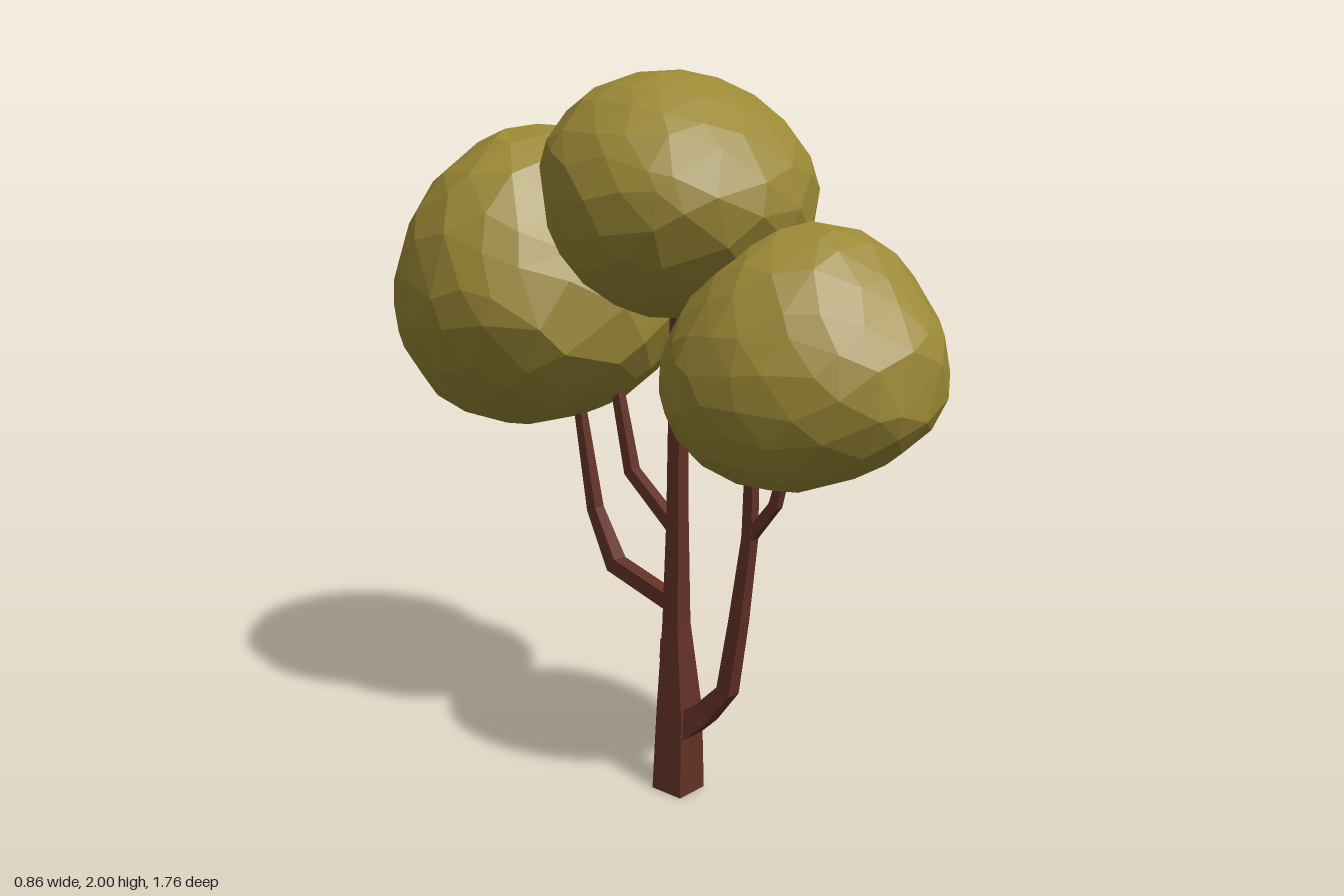
import * as THREE from 'three';

const bark = new THREE.MeshStandardMaterial({ color: 0x613126, flatShading: true });
const leaf = new THREE.MeshStandardMaterial({ color: 0x9c8936, flatShading: true });

// Square-sectioned limb through stations [x, y, z, width]; ref sets the twist of the section
function limb(name, stations, ref = [1, 0, 0]) {
  const pts = stations.map(s => new THREE.Vector3(s[0], s[1], s[2]));
  const n = pts.length, pos = [], idx = [];
  pts.forEach((p, i) => {
    const t = new THREE.Vector3();
    if (i > 0) t.add(p.clone().sub(pts[i - 1]).normalize());
    if (i < n - 1) t.add(pts[i + 1].clone().sub(p).normalize());
    t.normalize();
    const u = new THREE.Vector3(...ref);
    u.addScaledVector(t, -u.dot(t)).normalize();
    const v = t.clone().cross(u);
    const h = stations[i][3] / 2;
    for (const [a, b] of [[1, 1], [-1, 1], [-1, -1], [1, -1]]) {
      const c = p.clone().addScaledVector(u, a * h).addScaledVector(v, b * h);
      pos.push(c.x, i === 0 && p.y === 0 ? 0 : c.y, c.z);
    }
  });
  for (let i = 0; i < n - 1; i++) {
    for (let k = 0; k < 4; k++) {
      const a = i * 4 + k, b = i * 4 + (k + 1) % 4;
      idx.push(a, b, b + 4, a, b + 4, a + 4);
    }
  }
  const e = (n - 1) * 4;
  idx.push(0, 2, 1, 0, 3, 2, e, e + 1, e + 2, e, e + 2, e + 3);
  const indexed = new THREE.BufferGeometry();
  indexed.setAttribute('position', new THREE.Float32BufferAttribute(pos, 3));
  indexed.setIndex(idx);
  const geo = indexed.toNonIndexed();
  geo.computeVertexNormals();
  const mesh = new THREE.Mesh(geo, bark);
  mesh.name = name;
  return mesh;
}

// Repeatable noise in -0.5..0.5, equal for coincident corners
function noise(v, seed) {
  const k = Math.round(v.x * 500) * 12.9898 + Math.round(v.y * 500) * 78.233 + Math.round(v.z * 500) * 37.719;
  const s = Math.sin(k + seed * 17.31) * 43758.5453;
  return s - Math.floor(s) - 0.5;
}

// Faceted crown: a sphere fitted to a side outline of [z, y] points and a half width in x
function crown(name, { center, halfWidth, x = 0, leanY = 0, leanZ = 0, outline, seed }) {
  const [cz, cy] = center;
  const polar = outline
    .map(([z, y]) => [Math.atan2(y - cy, z - cz), Math.hypot(y - cy, z - cz)])
    .sort((a, b) => a[0] - b[0]);
  const first = polar[0], last = polar[polar.length - 1];
  polar.unshift([last[0] - 2 * Math.PI, last[1]]);
  polar.push([first[0] + 2 * Math.PI, first[1]]);
  const radius = angle => {
    let i = 1;
    while (i < polar.length - 1 && polar[i][0] < angle) i++;
    const [a0, r0] = polar[i - 1], [a1, r1] = polar[i];
    return THREE.MathUtils.lerp(r0, r1, (angle - a0) / (a1 - a0));
  };

  const geo = new THREE.IcosahedronGeometry(1, 3);
  const p = geo.attributes.position, d = new THREE.Vector3();
  for (let i = 0; i < p.count; i++) {
    d.fromBufferAttribute(p, i);
    const j = [0, 1, 2].map(k => noise(d, seed + k) * 0.15);
    d.add(new THREE.Vector3(...j)).normalize();
    const r = radius(Math.atan2(d.y, d.z)) * 1.01;
    const y = d.y * r, z = d.z * r;
    p.setXYZ(i, x + d.x * halfWidth * 1.01 + leanY * y + leanZ * z, cy + y, cz + z);
  }
  geo.computeVertexNormals();
  const mesh = new THREE.Mesh(geo, leaf);
  mesh.name = name;
  return mesh;
}

export function createModel() {
  const tree = new THREE.Group();
  tree.name = 'tree';

  // Trunk and its branches
  tree.add(
    limb('trunk', [
      [0, 0, 0.112, 0.105], [0, 0.24, 0.115, 0.092], [-0.004, 0.5, 0.106, 0.056],
      [-0.006, 0.8, 0.11, 0.044], [-0.005, 1.45, 0.112, 0.034]]),
    limb('frontBranch', [
      [0, 0.19, 0.12, 0.085], [0, 0.255, 0.21, 0.06], [0, 0.345, 0.29, 0.046],
      [-0.005, 0.56, 0.33, 0.04], [-0.01, 0.8, 0.367, 0.032], [-0.012, 1.06, 0.372, 0.026]]),
    limb('frontTwig', [
      [-0.01, 0.79, 0.36, 0.03], [-0.012, 0.9, 0.45, 0.027], [-0.014, 1.02, 0.485, 0.022]]),
    limb('lowerBackBranch', [
      [0.004, 0.545, 0.11, 0.045], [0.015, 0.615, -0.145, 0.047],
      [0.024, 0.765, -0.238, 0.036], [0.028, 1.1, -0.31, 0.025]]),
    limb('upperBackBranch', [
      [0.002, 0.76, 0.11, 0.036], [0.012, 0.905, -0.078, 0.034], [0.018, 1.2, -0.155, 0.026]]),
    limb('brokenStub', [[0.01, 0.33, 0.085, 0.07], [0.085, 0.376, 0.015, 0.076]], [0.68, 0, 0.73])
  );

  // Foliage
  tree.add(
    crown('frontCrown', {
      center: [0.5, 1.28], halfWidth: 0.3, leanY: 0.12, leanZ: 0.12, seed: 1,
      outline: [[0.88, 1.25], [0.86, 1.34], [0.78, 1.45], [0.69, 1.56], [0.6, 1.61], [0.48, 1.62], [0.34, 1.55],
        [0.21, 1.39], [0.16, 1.25], [0.2, 1.1], [0.33, 0.99], [0.5, 0.96], [0.7, 1.02], [0.86, 1.16]],
    }),
    crown('topCrown', {
      center: [0.11, 1.68], halfWidth: 0.365, x: -0.005, leanY: 0.02, seed: 5,
      outline: [[0.485, 1.65], [0.45, 1.78], [0.32, 1.91], [0.19, 1.98], [0.05, 2], [-0.1, 1.97], [-0.2, 1.9],
        [-0.25, 1.81], [-0.24, 1.67], [-0.18, 1.52], [-0.05, 1.4], [0.12, 1.36], [0.3, 1.42], [0.46, 1.56]],
    }),
    crown('backCrown', {
      center: [-0.43, 1.43], halfWidth: 0.425, leanY: 0.02, leanZ: -0.03, seed: 9,
      outline: [[-0.25, 1.83], [-0.4, 1.88], [-0.55, 1.84], [-0.7, 1.74], [-0.8, 1.58], [-0.87, 1.4], [-0.88, 1.29],
        [-0.82, 1.15], [-0.7, 1.04], [-0.5, 1], [-0.3, 1.04], [-0.12, 1.13], [0, 1.26], [0.02, 1.36],
        [-0.05, 1.51], [-0.15, 1.68]],
    })
  );
  return tree;
}
